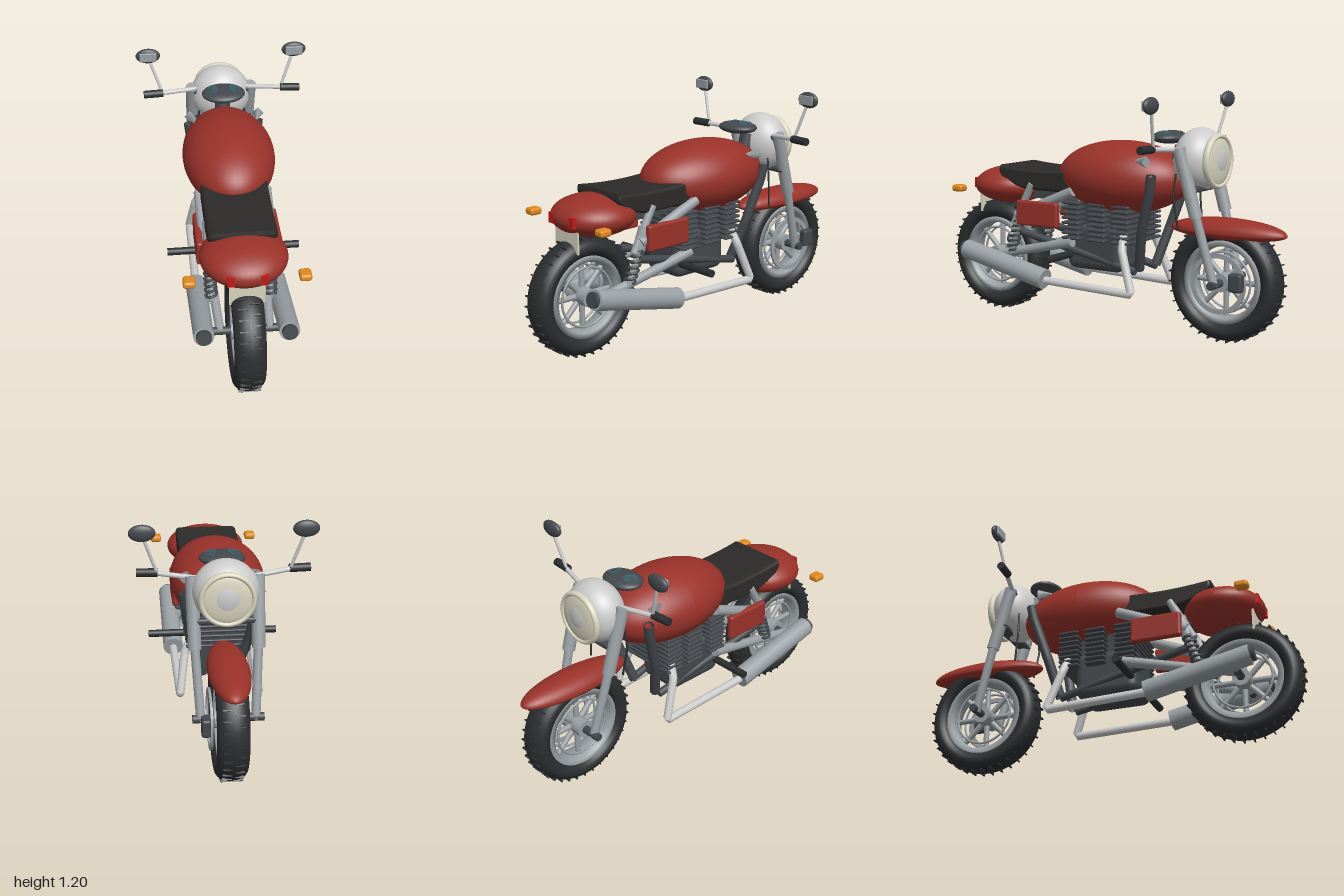
import * as THREE from 'three';
import { RoundedBoxGeometry } from 'three/addons/geometries/RoundedBoxGeometry.js';

const mat = (color) => new THREE.MeshStandardMaterial({ color, side: THREE.DoubleSide });
const red = mat(0x9a322a), rubber = mat(0x2b2e30), seatMat = mat(0x2d2b29), dark = mat(0x44484c);
const steel = mat(0x9aa0a4), chrome = mat(0xcccccc), cream = mat(0xd8d4bf), amber = mat(0xe08a1e);
const lampRed = mat(0xc01c18), glass = mat(0x3c5a64);
const V = (x, y, z) => new THREE.Vector3(x, y, z);

export function createModel() {
  const root = new THREE.Group();
  root.name = 'motorcycle';

  const add = (name, geo, m, x = 0, y = 0, z = 0, parent = root) => {
    const mesh = new THREE.Mesh(geo, m);
    mesh.name = name;
    mesh.position.set(x, y, z);
    parent.add(mesh);
    return mesh;
  };
  // Straight round bar between two points
  const rod = (name, a, b, r1, m, r2 = r1, parent = root) => {
    const d = b.clone().sub(a);
    const mesh = add(name, new THREE.CylinderGeometry(r2, r1, d.length(), 20), m, 0, 0, 0, parent);
    mesh.position.copy(a).addScaledVector(d, 0.5);
    mesh.quaternion.setFromUnitVectors(V(0, 1, 0), d.normalize());
    return mesh;
  };
  const tube = (name, pts, r, m, tension = 0.15) => add(name,
    new THREE.TubeGeometry(new THREE.CatmullRomCurve3(pts, false, 'catmullrom', tension), 48, r, 14), m);
  // Ellipsoid whose lower half may have its own height
  const egg = (name, rx, ryTop, rz, m, x, y, z, ryLow = ryTop) => {
    const g = new THREE.SphereGeometry(1, 48, 32);
    const p = g.attributes.position;
    for (let i = 0; i < p.count; i++) {
      const h = p.getY(i);
      p.setXYZ(i, p.getX(i) * rx, h * (h > 0 ? ryTop : ryLow), p.getZ(i) * rz);
    }
    g.computeVertexNormals();
    return add(name, g, m, x, y, z);
  };

  // Wheels: tyre, tread, rim, paired spokes, hub
  const wheel = (name, z) => {
    const w = new THREE.Group();
    w.name = name;
    w.position.set(0, 0.3, z);
    root.add(w);
    const spin = (n, pts, m) => {
      add(n, new THREE.LatheGeometry(pts.map(([r, x]) => new THREE.Vector2(r, x)), 64), m, 0, 0, 0, w).rotation.z = -Math.PI / 2;
    };
    const section = [];
    for (let i = 0; i <= 24; i++) {
      const a = (i / 24) * Math.PI * 2;
      section.push([0.245 + 0.051 * Math.cos(a), 0.076 * Math.sin(a)]);
    }
    spin('tyre', section, rubber);
    spin('rim', [[0.205, -0.055], [0.178, -0.055], [0.17, 0], [0.178, 0.055], [0.205, 0.055], [0.205, -0.055]], steel);
    for (let i = 0; i < 36; i++) {
      for (const s of [-1, 1]) {
        const a = ((i + (s > 0 ? 0.5 : 0)) / 36) * Math.PI * 2;
        const lug = add('treadBlock', new THREE.BoxGeometry(0.045, 0.012, 0.006), rubber,
          s * 0.028, Math.cos(a) * 0.293, Math.sin(a) * 0.293, w);
        lug.rotation.x = a;
      }
    }
    for (let i = 0; i < 8; i++) {
      const a = (i / 8) * Math.PI * 2;
      rod('spoke', V(0, Math.cos(a) * 0.04, Math.sin(a) * 0.04),
        V(0, Math.cos(a) * 0.18, Math.sin(a) * 0.18), 0.015, steel, 0.013, w);
    }
    rod('hub', V(-0.07, 0, 0), V(0.07, 0, 0), 0.045, steel, 0.045, w);
    rod('axle', V(-0.17, 0, 0), V(0.17, 0, 0), 0.02, dark, 0.02, w);
    for (const s of [-1, 1]) add('rimRing', new THREE.TorusGeometry(0.148, 0.006, 8, 48), steel, s * 0.04, 0, 0, w).rotation.y = Math.PI / 2;
    return w;
  };
  wheel('rearWheel', 0.702);
  const front = wheel('frontWheel', -0.68);
  const disc = new THREE.Shape().absarc(0, 0, 0.148, 0, Math.PI * 2);
  disc.holes.push(new THREE.Path().absarc(0, 0, 0.125, 0, Math.PI * 2, true));
  add('brakeDisc', new THREE.ExtrudeGeometry(disc, { depth: 0.012, bevelEnabled: false, curveSegments: 32 }),
    steel, 0.083, 0, 0, front).rotation.y = Math.PI / 2;
  add('brakeCaliper', new RoundedBoxGeometry(0.045, 0.09, 0.07, 3, 0.012), dark, 0.115, 0.02, -0.11, front);

  // Bodywork
  egg('fuelTank', 0.235, 0.182, 0.37, red, 0, 0.775, -0.09, 0.185);
  egg('tailCowl', 0.21, 0.1, 0.205, red, 0, 0.69, 0.62);
  egg('frontFender', 0.1, 0.067, 0.312, red, 0, 0.543, -0.683, 0.04);
  const seat = new THREE.Shape();
  seat.moveTo(0.15, 0.7);
  seat.lineTo(0.15, 0.785);
  seat.quadraticCurveTo(0.36, 0.765, 0.58, 0.79);
  seat.quadraticCurveTo(0.6, 0.74, 0.42, 0.7);
  const seatGeo = new THREE.ExtrudeGeometry(seat,
    { depth: 0.28, bevelSize: 0.015, bevelThickness: 0.025, bevelSegments: 4, curveSegments: 16 });
  seatGeo.translate(0, 0, -0.14).rotateY(-Math.PI / 2);
  add('seat', seatGeo, seatMat);
  add('rearPlate', new THREE.BoxGeometry(0.17, 0.11, 0.01), cream, 0, 0.59, 0.78);

  // Headlamp and instruments
  egg('headlampShell', 0.158, 0.156, 0.125, chrome, 0, 0.885, -0.53);
  const rim = add('headlampRim', new THREE.TorusGeometry(0.122, 0.013, 12, 48), cream, 0, 0.88, -0.625);
  rim.scale.z = 1.4;
  egg('headlampLens', 0.122, 0.122, 0.025, cream, 0, 0.88, -0.625);
  egg('instrumentPod', 0.112, 0.031, 0.086, dark, 0, 0.985, -0.355);
  rod('steeringHead', V(0, 0.94, -0.43), V(0, 0.68, -0.36), 0.04, dark);
  for (const y of [0.93, 0.75]) add('forkClamp', new RoundedBoxGeometry(0.34, 0.03, 0.06, 3, 0.012), dark, 0, y, -0.5 - (0.93 - y) * 0.28);

  // Engine
  add('crankcase', new RoundedBoxGeometry(0.25, 0.24, 0.33, 5, 0.045), dark, 0, 0.41, 0.025);
  for (const z of [0.137, -0.02, -0.16]) {
    add('cylinderCore', new RoundedBoxGeometry(0.26, 0.22, 0.085, 2, 0.02), dark, 0, 0.55, z);
    for (let i = 0; i < 8; i++) {
      add('coolingFin', new RoundedBoxGeometry(0.33, 0.014, 0.105, 2, 0.006), dark, 0, 0.455 + i * 0.026, z);
    }
  }
  add('engineBlock', new THREE.BoxGeometry(0.2, 0.2, 0.32), dark, 0, 0.54, -0.01);
  add('backbone', new THREE.BoxGeometry(0.12, 0.08, 0.8), dark, 0, 0.67, 0.15);

  // Paired parts
  for (const s of [-1, 1]) {
    const P = (x, y, z) => V(s * x, y, z);

    // Fork, handlebar, mirror
    rod('upperFork', P(0.155, 0.95, -0.495), P(0.15, 0.62, -0.59), 0.032, steel);
    rod('lowerFork', P(0.15, 0.64, -0.585), P(0.13, 0.29, -0.68), 0.022, steel);
    tube('handlebar', [P(0, 0.94, -0.5), P(0.14, 0.94, -0.49), P(0.32, 0.952, -0.445)], 0.012, chrome);
    rod('grip', P(0.31, 0.953, -0.442), P(0.41, 0.953, -0.435), 0.02, rubber);
    rod('mirrorStem', P(0.315, 0.96, -0.45), P(0.375, 1.14, -0.475), 0.008, chrome);
    egg('mirrorShell', 0.063, 0.041, 0.022, dark, s * 0.38, 1.16, -0.475);
    add('mirrorGlass', new RoundedBoxGeometry(0.088, 0.048, 0.01, 2, 0.004), steel, s * 0.38, 1.16, -0.456);
    tube('controlCable', [P(0.12, 0.82, -0.46), P(0.135, 0.7, -0.455), P(0.12, 0.55, -0.475)], 0.005, rubber);
    const dial = add('gaugeDial', new THREE.CylinderGeometry(0.031, 0.031, 0.008, 24), glass, s * 0.055, 1.008, -0.355);
    dial.scale.z = 1.3;
    dial.rotation.z = -s * 0.22;

    // Frame
    tube('downTube', [P(0.185, 0.81, -0.36), P(0.175, 0.73, -0.345), P(0.14, 0.52, -0.28), P(0.08, 0.32, -0.23)], 0.025, dark);
    rod('lowerFrameTube', P(0.1, 0.31, -0.22), P(0.14, 0.46, 0.46), 0.02, dark);
    rod('seatStay', P(0.17, 0.7, 0.11), P(0.165, 0.55, 0.47), 0.026, steel);
    rod('rearStay', P(0.155, 0.72, 0.38), P(0.155, 0.5, 0.5), 0.02, steel);
    rod('swingArm', P(0.15, 0.435, 0.13), P(0.12, 0.3, 0.71), 0.026, steel, 0.022);
    const vent = add('tankVent', new THREE.ConeGeometry(0.03, 0.1, 4), steel, s * 0.165, 0.875, -0.28);
    vent.rotation.set(Math.PI / 2, 0, s * 0.3);

    // Shock absorber with coil spring
    const top = P(0.155, 0.62, 0.43), low = P(0.145, 0.34, 0.53);
    rod('shockBody', top, top.clone().lerp(low, 0.38), 0.031, steel);
    rod('shockRod', top, low, 0.014, steel);
    const coil = [];
    for (let i = 0; i <= 72; i++) {
      const a = (i / 12) * Math.PI * 2;
      coil.push(top.clone().lerp(low, 0.36 + (0.58 * i) / 72).add(V(Math.cos(a) * 0.027, 0, Math.sin(a) * 0.027)));
    }
    add('shockSpring', new THREE.TubeGeometry(new THREE.CatmullRomCurve3(coil), 120, 0.007, 6), dark);

    // Exhaust
    tube('exhaustPipe', [P(0.13, 0.5, -0.17), P(0.17, 0.42, -0.185), P(0.2, 0.225, -0.255),
      P(0.2, 0.215, -0.245), P(0.205, 0.23, 0.28)], 0.021, chrome, 0.1);
    rod('muffler', P(0.205, 0.234, 0.265), P(0.205, 0.345, 0.785), 0.053, steel, 0.05);
    rod('mufflerOutlet', P(0.205, 0.34, 0.76), P(0.205, 0.35, 0.805), 0.038, dark);

    // Side panel, foot peg, lamps
    add('sidePanel', new RoundedBoxGeometry(0.035, 0.13, 0.26, 3, 0.012), red, s * 0.192, 0.57, 0.318);
    rod('footPeg', P(0.1, 0.367, 0.158), P(0.34, 0.367, 0.158), 0.019, rubber);
    add('turnSignal', new RoundedBoxGeometry(0.058, 0.036, 0.066, 4, 0.014), amber, s * 0.268, 0.682, 0.777);
    add('tailLamp', new THREE.BoxGeometry(0.034, 0.052, 0.04), lampRed, s * 0.078, 0.692, 0.795);
  }
  return root;
}
